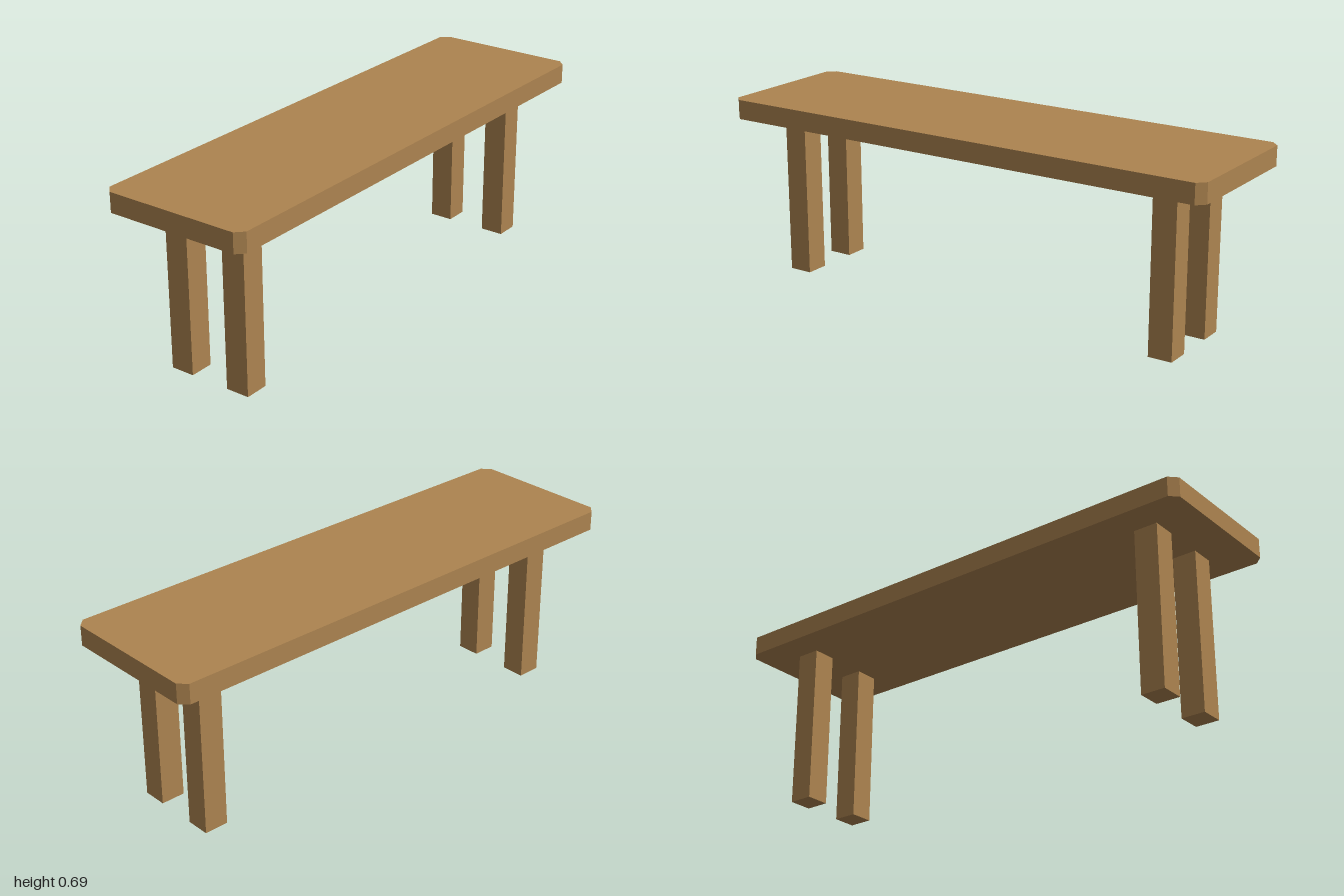
import * as THREE from 'three';

export function createModel() {
  const model = new THREE.Group();
  model.name = 'bench';
  const wood = new THREE.MeshStandardMaterial({ color: 0xad8450 });
  wood.name = 'wood';

  // Seat plank: a rectangle with clipped corners, extruded upward
  const w = 1, d = 0.292, cut = 0.03, seatBottom = 0.617, seatTop = 0.692;
  const outline = new THREE.Shape([
    [w, -d + cut], [w, d - cut], [w - cut, d], [-w + cut, d],
    [-w, d - cut], [-w, -d + cut], [-w + cut, -d], [w - cut, -d],
  ].map(([x, y]) => new THREE.Vector2(x, y)));
  const seatGeometry = new THREE.ExtrudeGeometry(outline, {
    depth: seatTop - seatBottom, bevelEnabled: false,
  });
  seatGeometry.rotateX(-Math.PI / 2);
  const seat = new THREE.Mesh(seatGeometry, wood);
  seat.name = 'seat';
  seat.position.y = seatBottom;
  model.add(seat);

  // Four square legs reaching the underside of the seat
  const legGeometry = new THREE.BoxGeometry(0.092, seatBottom, 0.092);
  for (const [zName, z] of [['front', 0.123], ['back', -0.123]]) {
    for (const [xName, x] of [['Left', 0.8], ['Right', -0.8]]) {
      const leg = new THREE.Mesh(legGeometry, wood);
      leg.name = `${zName}${xName}Leg`;
      leg.position.set(x, seatBottom / 2, z);
      model.add(leg);
    }
  }
  return model;
}
